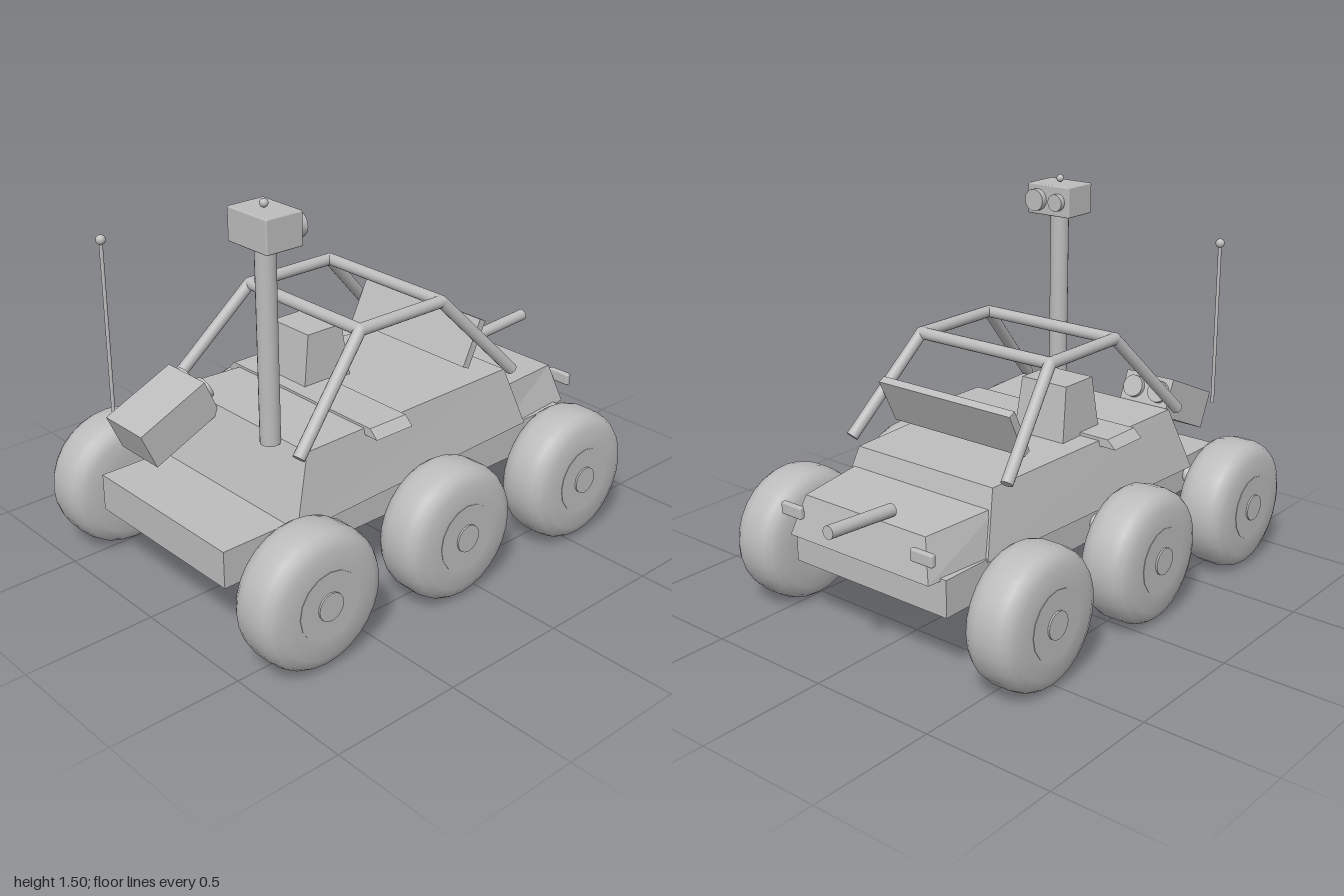
import * as THREE from 'three';
import { toCreasedNormals } from 'three/addons/utils/BufferGeometryUtils.js';
import { RoundedBoxGeometry } from 'three/addons/geometries/RoundedBoxGeometry.js';

const grey = new THREE.MeshStandardMaterial({ color: 0xbcbcbc });
grey.name = 'light grey';

export function createModel() {
  const root = new THREE.Group();
  root.name = 'rover';

  const add = (name, geometry, x = 0, y = 0, z = 0, parent = root) => {
    const mesh = new THREE.Mesh(geometry, grey);
    mesh.name = name;
    mesh.position.set(x, y, z);
    parent.add(mesh);
    return mesh;
  };

  // Straight rod between two points
  const rod = (name, a, b, r, parent = root) => {
    const p = new THREE.Vector3(...a), q = new THREE.Vector3(...b);
    const d = q.clone().sub(p);
    const mesh = add(name, new THREE.CylinderGeometry(r, r, d.length(), 16), 0, 0, 0, parent);
    mesh.position.copy(p).add(q).multiplyScalar(0.5);
    mesh.quaternion.setFromUnitVectors(new THREE.Vector3(0, 1, 0), d.normalize());
    return mesh;
  };

  // Six-sided block; each end edge is [half width, height, z]: bottom front, bottom back, top front, top back
  const block = (bf, bb, tf, tb) => {
    const c = [bf, bb, tf, tb].flatMap(([w, y, z]) => [[-w, y, z], [w, y, z]]);
    const quads = [[0, 1, 5, 4], [3, 2, 6, 7], [1, 3, 7, 5], [2, 0, 4, 6], [4, 5, 7, 6], [2, 3, 1, 0]];
    const pos = quads.flatMap(([a, b, d, e]) => [a, b, d, a, d, e].flatMap(i => c[i]));
    const g = new THREE.BufferGeometry();
    g.setAttribute('position', new THREE.Float32BufferAttribute(pos, 3));
    g.computeVertexNormals();
    return g;
  };

  // Hull
  add('chassis', new THREE.BoxGeometry(0.72, 0.14, 1.675), 0, 0.34, 0.0975);
  add('upperBody', block([0.42, 0.4, 0.67], [0.365, 0.4, -0.53], [0.365, 0.655, 0.575], [0.32, 0.638, -0.45]));
  add('rearHood', block([0.37, 0.4, -0.36], [0.33, 0.4, -0.795], [0.33, 0.568, -0.42], [0.285, 0.552, -0.755]));
  add('crossPlate', block([0.42, 0.627, 0.305], [0.42, 0.627, 0.135], [0.385, 0.66, 0.305], [0.385, 0.66, 0.135]));

  // Wheels with suspension arms
  const tyreProfile = [
    [0, -0.105], [0.13, -0.108], [0.2, -0.104], [0.236, -0.088], [0.251, -0.065], [0.258, -0.035],
    [0.258, 0.035], [0.251, 0.065], [0.236, 0.088], [0.2, 0.104], [0.13, 0.108], [0, 0.105],
  ].map(([r, y]) => new THREE.Vector2(r, y));
  const tyre = toCreasedNormals(new THREE.LatheGeometry(tyreProfile, 28), 0.6);
  for (const z of [0.74, 0.1, -0.537]) {
    for (const side of [1, -1]) {
      const wheel = new THREE.Group();
      wheel.name = side > 0 ? 'leftWheel' : 'rightWheel';
      wheel.position.set(side * 0.56, 0.267, z);
      if (side < 0) wheel.rotation.y = Math.PI;
      root.add(wheel);
      add('tyre', tyre, 0, 0, 0, wheel).rotation.z = -Math.PI / 2;
      rod('rim', [0.09, 0, 0], [0.11, 0, 0], 0.128, wheel);
      rod('hub', [0.09, 0, 0], [0.117, 0, 0], 0.052, wheel);
      rod('innerHub', [-0.12, 0, 0], [-0.09, 0, 0], 0.042, wheel);
      rod('suspensionArm', [-0.24, 0.082, 0], [-0.09, 0.022, 0], 0.032, wheel);
    }
  }

  // Roll cage
  const cage = new THREE.Group();
  cage.name = 'rollCage';
  root.add(cage);
  for (const s of [1, -1]) {
    const pts = [[s * 0.375, 0.65, 0.62], [s * 0.305, 1, 0.28], [s * 0.305, 1, -0.115], [s * 0.37, 0.66, -0.435]];
    for (let i = 0; i < 3; i++) rod('cageTube', pts[i], pts[i + 1], 0.023, cage);
    for (const p of pts.slice(1, 3)) add('cageJoint', new THREE.SphereGeometry(0.023, 16, 10), ...p, cage);
  }
  for (const z of [0.28, -0.115]) rod('cageCrossbar', [-0.305, 1, z], [0.305, 1, z], 0.023, cage);

  // Seat block and tilted panel
  const seat = new THREE.BoxGeometry(0.23, 0.215, 0.225);
  const sp = seat.attributes.position;
  for (let i = 0; i < sp.count; i++) {
    if (sp.getY(i) > 0) sp.setXYZ(i, sp.getX(i) * 0.89, sp.getY(i), sp.getZ(i) * 0.72);
  }
  seat.computeVertexNormals();
  add('seat', seat, -0.145, 0.7475, 0.14);
  add('tiltedPanel', new THREE.BoxGeometry(0.62, 0.19, 0.032), 0, 0.785, -0.29).rotation.x = -0.46;

  // Mast with twin-lens head
  rod('mast', [0.2, 0.64, 0.6], [0.2, 1.37, 0.6], 0.037);
  add('mastHead', new RoundedBoxGeometry(0.204, 0.122, 0.152, 2, 0.006), 0.2, 1.42, 0.598);
  add('mastHeadKnob', new THREE.SphereGeometry(0.015, 16, 12), 0.2, 1.498, 0.6);
  rod('largeLens', [0.252, 1.418, 0.53], [0.252, 1.418, 0.496], 0.044);
  rod('smallLens', [0.152, 1.418, 0.53], [0.152, 1.418, 0.5], 0.034);

  // Tilted instrument box
  const box = new THREE.Group();
  box.name = 'instrumentBox';
  box.position.set(-0.24, 0.63, 0.738);
  box.rotation.x = 0.417;
  root.add(box);
  add('boxBody', new THREE.BoxGeometry(0.218, 0.15, 0.306), 0, 0, 0, box);
  for (const x of [-0.06, 0.055]) rod('boxLens', [x, 0.015, -0.14], [x, 0.015, -0.172], 0.044, box);

  // Antenna
  rod('antenna', [-0.4, 0.62, 0.845], [-0.4, 1.275, 0.845], 0.007);
  add('antennaTip', new THREE.SphereGeometry(0.018, 16, 12), -0.4, 1.277, 0.845);

  // Rear pole and lamps
  rod('rearPole', [-0.08, 0.575, -0.7], [-0.08, 0.594, -1], 0.024);
  for (const x of [0.31, -0.31]) {
    add('rearLamp', new RoundedBoxGeometry(0.1, 0.048, 0.024, 2, 0.008), x, 0.5, -0.797);
  }
  return root;
}
